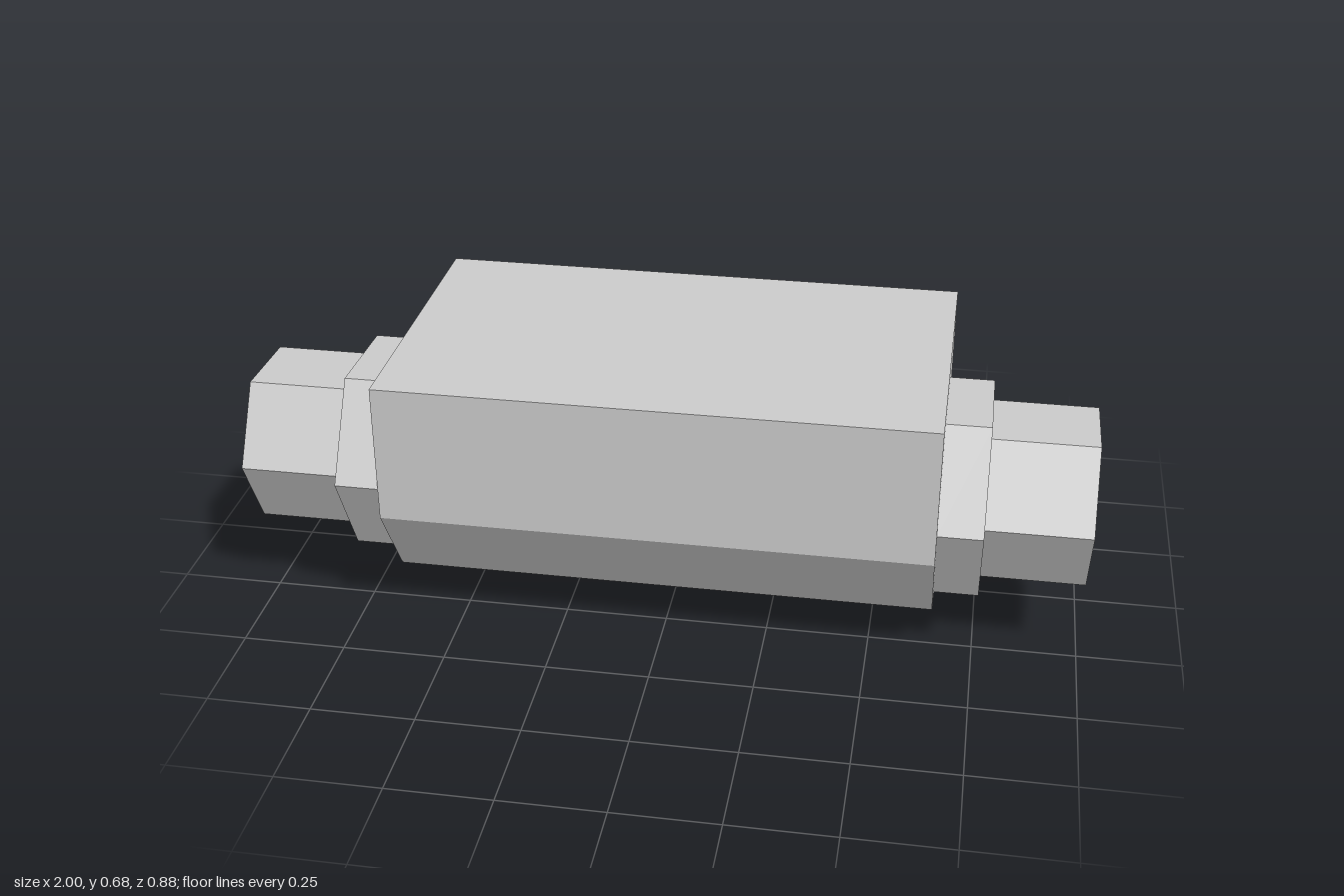
import * as THREE from 'three';

const material = new THREE.MeshStandardMaterial({ color: 0xcccccc, flatShading: true });

// Extrude a [z, y] side profile along x, from x0 to x1
function prism(name, profile, x0, x1) {
  const shape = new THREE.Shape(profile.map(([z, y]) => new THREE.Vector2(-z, y)));
  const geometry = new THREE.ExtrudeGeometry(shape, { depth: x1 - x0, bevelEnabled: false });
  geometry.rotateY(Math.PI / 2).translate(x0, 0, 0);
  const mesh = new THREE.Mesh(geometry, material);
  mesh.name = name;
  return mesh;
}

// Slightly tilted hexagon around the axle centre
function hexagon(radius) {
  const points = [];
  for (let i = 0; i < 6; i++) {
    const a = THREE.MathUtils.degToRad(2 + i * 60);
    points.push([0.187 + radius * Math.cos(a), 0.41 + radius * Math.sin(a)]);
  }
  return points;
}

export function createModel() {
  const model = new THREE.Group();
  model.name = 'axleHousing';

  // Main block: sloped back, chamfered lower front and a stepped underside
  model.add(prism('housing', [
    [0.442, 0.682], [0.442, 0.342], [0.307, 0.134], [-0.045, 0],
    [-0.178, 0], [-0.178, 0.069], [-0.442, 0.069], [-0.314, 0.682],
  ], -0.65, 0.65));

  // Hexagonal collar and axle stub at each end
  for (const [side, s] of [['left', 1], ['right', -1]]) {
    const span = (a, b) => (s > 0 ? [a, b] : [-b, -a]);
    model.add(prism(side + 'Collar', hexagon(0.254), ...span(0.65, 0.755)));
    model.add(prism(side + 'AxleStub', hexagon(0.208), ...span(0.755, 1)));
  }
  return model;
}
